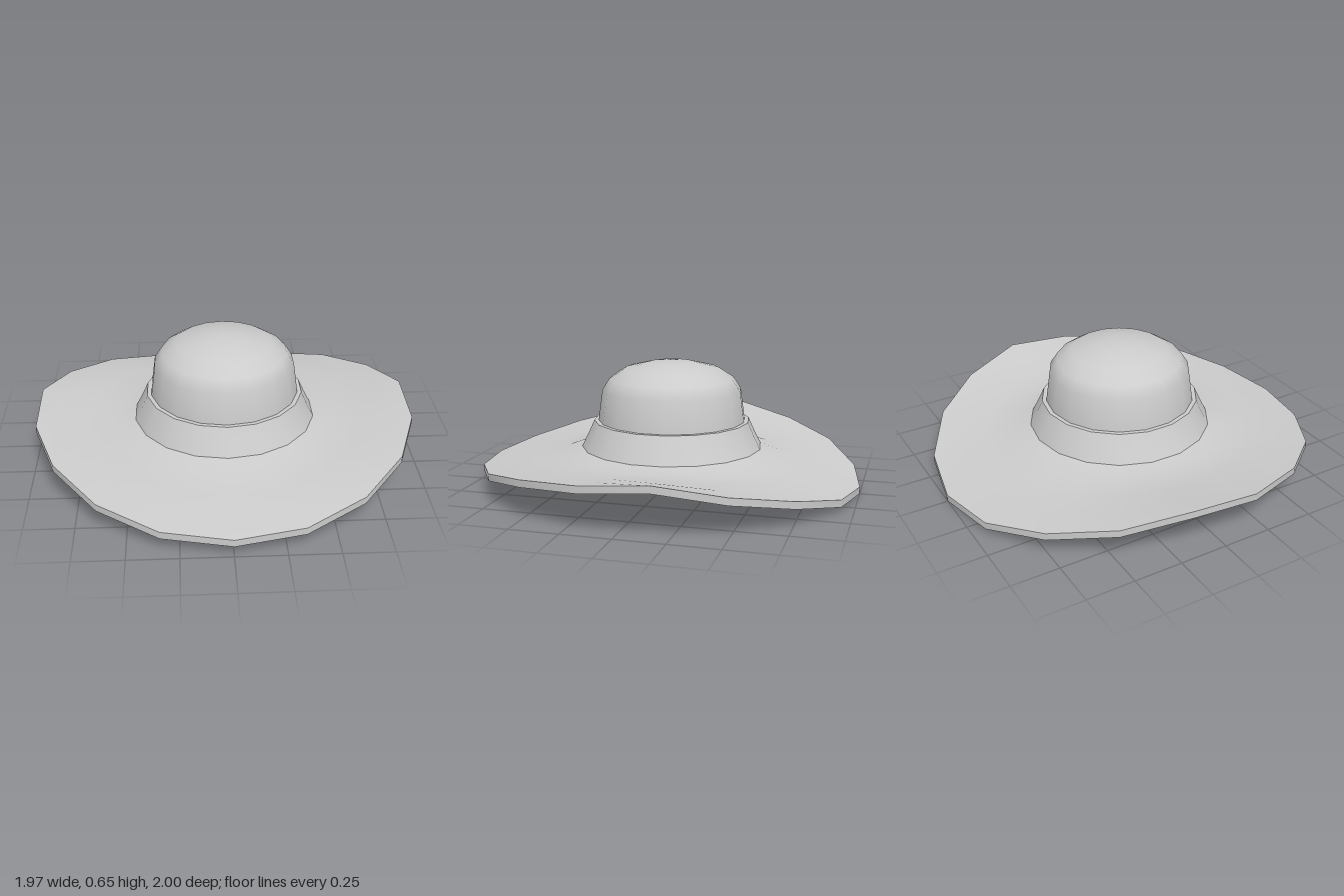
import * as THREE from 'three';
import { mergeVertices } from 'three/addons/utils/BufferGeometryUtils.js';

const SIDES = 18;
// Height of the brim's upper edge every 20 degrees, from the front round to the back
const EDGE = [0.095, 0.107, 0.147, 0.198, 0.228, 0.255, 0.192, 0.13, 0.063, 0.037];
const REST = 0.17; // height of the upper edge before bending

// Bend the brim up at the sides and down at the front and back
function bend(x, z) {
  const t = Math.max(0, (Math.hypot(x, z) - 0.5) / 0.5);
  const a = Math.abs(Math.atan2(x, z)) / (Math.PI / 9);
  const i = Math.min(8, Math.floor(a));
  return Math.pow(t, 1.3) * (THREE.MathUtils.lerp(EDGE[i], EDGE[i + 1], a - i) - REST);
}

// Smooth turned surface from [radius, height] points, with the brim bend applied
function turned(name, profile, material) {
  let geo = new THREE.LatheGeometry(profile.map(([r, y]) => new THREE.Vector2(r, y)), SIDES);
  geo.deleteAttribute('uv');
  geo.deleteAttribute('normal');
  geo = mergeVertices(geo, 1e-4);
  const p = geo.attributes.position;
  for (let i = 0; i < p.count; i++) p.setY(i, p.getY(i) + bend(p.getX(i), p.getZ(i)));
  geo.computeVertexNormals();
  const mesh = new THREE.Mesh(geo, material);
  mesh.name = name;
  return mesh;
}

export function createModel() {
  const hat = new THREE.Group();
  hat.name = 'hat';
  const mat = new THREE.MeshStandardMaterial({ color: 0xcccccc, roughness: 0.8 });

  // Brim: upper face, thin outer edge, and underside running up into the lining
  const brim = new THREE.Group();
  brim.name = 'brim';
  brim.add(
    turned('brimTop', [[1, 0.17], [0.86, 0.17], [0.72, 0.168], [0.58, 0.168], [0.48, 0.198], [0.4, 0.21]], mat),
    turned('brimEdge', [[1, 0.133], [1, 0.17]], mat),
    turned('brimUnderside', [
      [0, 0.6], [0.2, 0.585], [0.31, 0.54], [0.345, 0.48], [0.365, 0.3], [0.375, 0.18],
      [0.41, 0.148], [0.48, 0.14], [0.6, 0.136], [0.74, 0.133], [0.87, 0.133], [1, 0.133],
    ], mat),
  );

  // Domed crown
  const crown = turned('crown', [
    [0.4, 0.2], [0.39, 0.34], [0.368, 0.5], [0.328, 0.56], [0.25, 0.61], [0.12, 0.642], [0, 0.655],
  ], mat);

  // Flared band with a narrow ledge on top
  const band = new THREE.Group();
  band.name = 'band';
  band.add(
    turned('bandSide', [[0.48, 0.195], [0.445, 0.265], [0.412, 0.338]], mat),
    turned('bandLedge', [[0.412, 0.338], [0.385, 0.338]], mat),
  );

  hat.add(brim, crown, band);
  return hat;
}
